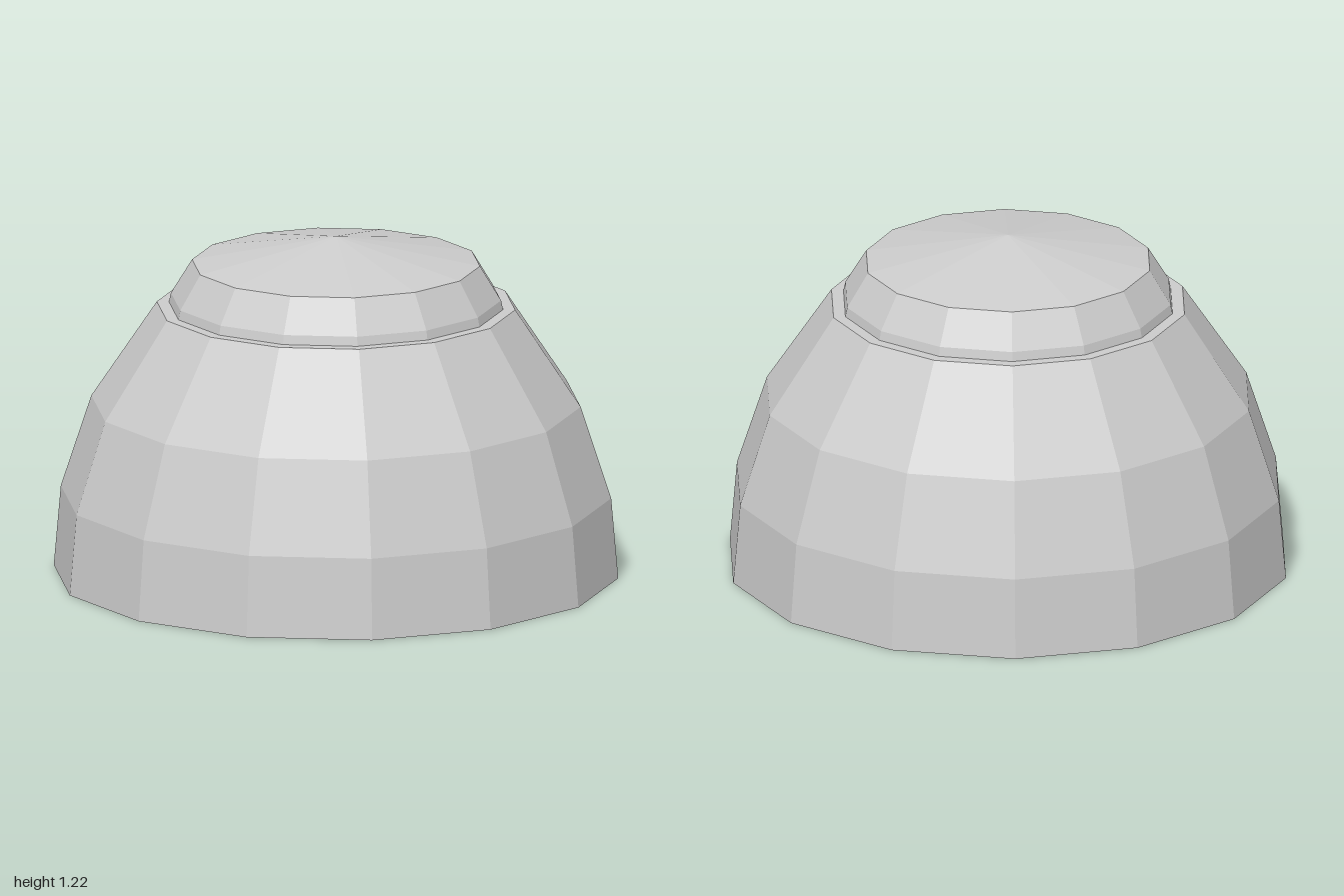
import * as THREE from 'three';

const SIDES = 14;

export function createModel() {
  const model = new THREE.Group();
  model.name = 'steppedDome';

  const grey = new THREE.MeshStandardMaterial({
    color: 0xcccccc, flatShading: true, side: THREE.DoubleSide,
  });
  grey.name = 'plain grey';

  // Faceted open shell turned from [radius, height] points, bottom to top
  const addShell = (name, profile) => {
    const points = profile.map(([r, y]) => new THREE.Vector2(r, y));
    const mesh = new THREE.Mesh(new THREE.LatheGeometry(points, SIDES), grey);
    mesh.name = name;
    model.add(mesh);
  };

  // Outer dome, open below, with a flat ledge turning in at the top
  addShell('outerDome', [[1, 0], [0.975, 0.29], [0.867, 0.62], [0.635, 0.967], [0.592, 0.967]]);

  // Inner cap: its skirt hangs inside the dome, its shallow cone closes the top
  addShell('innerCap', [[0.67, 0.59], [0.585, 1.0], [0.51, 1.123], [0, 1.22]]);

  return model;
}
